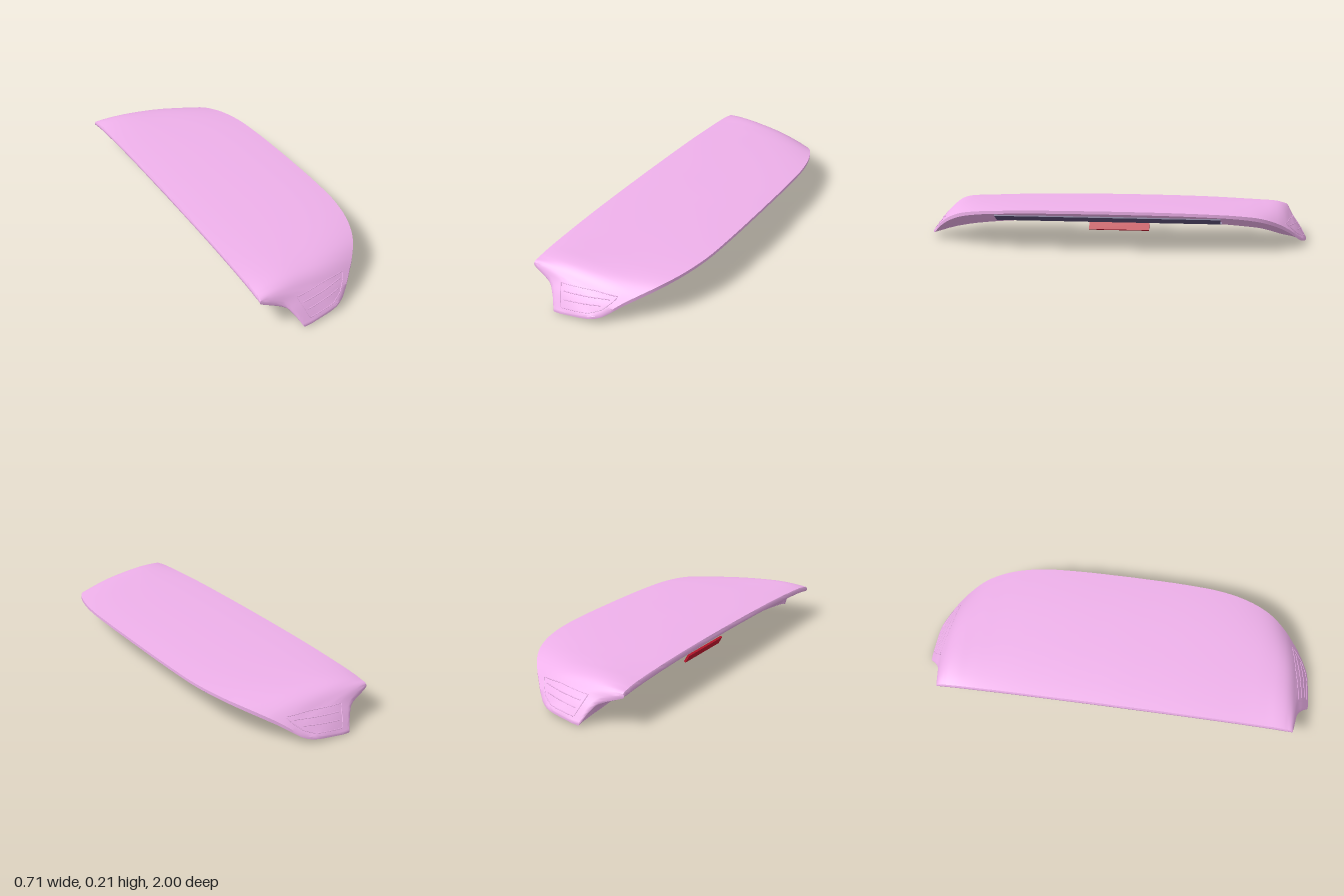
import * as THREE from 'three';
import { toCreasedNormals } from 'three/addons/utils/BufferGeometryUtils.js';

const PAINT = 0xeeb0ea, DARK = 0x5c5078, GREY = 0xa8a0cc, RED = 0xc0182f;
const REAR = -0.357;

// Cross-section stations from the middle to one tip: rear edge x, top y, bottom y;
// crown y; front rim x, top y, bottom y; y of the lower ridge; ridge x
const STATION_Z = [0, 0.3, 0.5, 0.65, 0.76, 0.84, 0.88, 0.91, 0.93, 0.96, 0.985, 1];
const STATIONS = [
  REAR, 0.200, 0.171, 0.210, 0.356, 0.200, 0.185, 0.075, -0.20,
  REAR, 0.198, 0.169, 0.208, 0.352, 0.198, 0.183, 0.072, -0.20,
  REAR, 0.194, 0.165, 0.204, 0.338, 0.192, 0.177, 0.066, -0.20,
  REAR, 0.188, 0.159, 0.199, 0.302, 0.181, 0.165, 0.057, -0.20,
  REAR, 0.182, 0.153, 0.194, 0.250, 0.162, 0.144, 0.047, -0.20,
  REAR, 0.175, 0.147, 0.185, 0.186, 0.130, 0.112, 0.037, -0.197,
  REAR, 0.168, 0.142, 0.169, 0.145, 0.106, 0.089, 0.030, -0.193,
  REAR, 0.158, 0.138, 0.142, 0.114, 0.084, 0.069, 0.025, -0.189,
  -0.260, 0.120, 0.101, 0.114, 0.090, 0.065, 0.052, 0.020, -0.186,
  -0.214, 0.077, 0.060, 0.074, 0.047, 0.040, 0.028, 0.014, -0.183,
  -0.192, 0.037, 0.024, 0.037, -0.020, 0.027, 0.016, 0.008, -0.180,
  -0.180, 0.010, 0.001, 0.013, -0.140, 0.012, 0.003, 0.000, -0.175,
];
const interp = new THREE.CubicInterpolant(STATION_Z, STATIONS, 9);

function station(z) {
  const [xl, yl, ylb, crown, xr, yr, yrb, yk, xk] = interp.evaluate(Math.min(1, Math.abs(z)));
  return { xl: Math.max(REAR, xl), yl, ylb, crown, xr, yr, yrb, yk, xk };
}

// Height of the upper skin at a fraction s from rear to front
function topY(p, s) {
  const bulge = p.crown - (p.yl + p.yr) / 2;
  return p.yl + (p.yr - p.yl) * s + bulge * (1 - Math.abs(2 * s - 1) ** 2.6);
}

// Closed section: upper skin, rim, flange, underside panel, ridge, rear edge
function section(z) {
  const p = station(z), a = Math.abs(z), pts = [];
  const N = 18, thick = p.yl - p.ylb;
  for (let i = 0; i <= N; i++) {
    const s = i / N;
    pts.push([p.xl + (p.xr - p.xl) * s, topY(p, s)]);
  }
  pts[0][0] += thick * 0.2; // rolled rear edge
  const end = THREE.MathUtils.smoothstep(a, 0.65, 0.9);
  const fade = 1 - THREE.MathUtils.smoothstep(a, 0.84, 0.98);
  const under = (t, drop) => pts.push([
    p.xr + (p.xk - p.xr) * t, p.yrb + (p.yk - p.yrb) * t - drop * fade]);
  const f = Math.min(0.6, (0.11 + 0.03 * end) / (p.xr - p.xk)); // flange width
  under(0, 0);
  under(f * 0.5, 0.011);
  under(f, 0.020);
  under(f + 0.02, 0.006);
  for (const [t, rise] of [[0.25, -0.003], [0.5, 0], [0.75, 0.004], [0.92, 0.006]])
    under(f + 0.02 + (0.98 - f) * t, -rise);
  under(1, 0);
  for (const [t, u] of [[0.15, 0.3], [0.4, 0.64], [1, 1]])
    pts.push([p.xk + (p.xl + thick * 0.2 - p.xk) * t, p.yk + (p.ylb - p.yk) * u]);
  pts.push([p.xl, p.ylb + thick * 0.3]);
  pts.push([p.xl, p.ylb + thick * 0.7]);
  return pts;
}

function bodyGeometry() {
  const half = [];
  STATION_Z.forEach((z, i) => {
    const next = STATION_Z[i + 1];
    if (next !== undefined) for (let k = 0; k < 4; k++) half.push(z + (next - z) * k / 4);
  });
  half.push(1);
  const zs = [...half.slice(1).reverse().map(z => -z), ...half];
  const pos = [], index = [];
  let n = 0;
  zs.forEach(z => {
    const loop = section(z);
    n = loop.length;
    loop.forEach(([x, y]) => pos.push(x, y, z));
  });
  const rows = zs.length;
  for (let i = 0; i < rows - 1; i++) for (let j = 0; j < n; j++) {
    const a = i * n + j, b = i * n + (j + 1) % n, c = a + n, d = b + n;
    index.push(a, c, b, b, c, d);
  }
  // Tip caps
  for (const [row, z] of [[0, -1], [rows - 1, 1]]) {
    const c = pos.length / 3;
    pos.push(-0.16, 0.006, z);
    for (let j = 0; j < n; j++) {
      const a = row * n + j, b = row * n + (j + 1) % n;
      if (z > 0) index.push(c, b, a); else index.push(c, a, b);
    }
  }
  const g = new THREE.BufferGeometry();
  g.setAttribute('position', new THREE.Float32BufferAttribute(pos, 3));
  g.setIndex(index);
  return toCreasedNormals(g, 0.7);
}

// Point on the sloping end skin (side is 1 or -1) for a given x and y
function onEnd(x, y, side) {
  let lo = 0.8, hi = 1;
  for (let i = 0; i < 24; i++) {
    const z = (lo + hi) / 2, p = station(z);
    const s = THREE.MathUtils.clamp((x - p.xl) / (p.xr - p.xl), 0, 1);
    if (topY(p, s) > y) lo = z; else hi = z;
  }
  return new THREE.Vector3(x, y, lo * side);
}

function mesh(name, geometry, color) {
  const m = new THREE.Mesh(geometry, new THREE.MeshStandardMaterial({ color }));
  m.name = name;
  return m;
}

// Thin bead laid on the end skin through a few x, y points
function bead(name, pts, closed, radius, side) {
  const path = new THREE.CurvePath();
  const list = closed ? [...pts, pts[0]] : pts;
  for (let i = 0; i < list.length - 1; i++) {
    const [x0, y0] = list[i], [x1, y1] = list[i + 1];
    const steps = [];
    for (let k = 0; k <= 5; k++)
      steps.push(onEnd(x0 + (x1 - x0) * k / 5, y0 + (y1 - y0) * k / 5, side));
    path.add(new THREE.CatmullRomCurve3(steps));
  }
  return mesh(name, new THREE.TubeGeometry(path, 64, radius, 6, closed), PAINT);
}

function endVent(name, side) {
  const g = new THREE.Group();
  g.name = name;
  g.add(bead('ventFrame', [[-0.18, 0.123], [-0.153, 0.055], [-0.143, 0.031], [0, 0.044],
    [0.055, 0.065], [0.09, 0.098], [0.108, 0.122], [0, 0.128]], true, 0.002, side));
  g.add(bead('ventSlat', [[-0.153, 0.096], [0.077, 0.107]], false, 0.0025, side));
  g.add(bead('ventSlat', [[-0.14, 0.065], [0.046, 0.08]], false, 0.0025, side));
  return g;
}

// Straight bar along z, tilted in the x, y plane
function strip(name, x, y, w, h, tilt, length, color) {
  const m = mesh(name, new THREE.BoxGeometry(w, h, length), color);
  m.position.set(x, y, 0);
  m.rotation.z = tilt;
  return m;
}

export function createModel() {
  const model = new THREE.Group();
  model.name = 'spoiler';
  model.add(mesh('body', bodyGeometry(), PAINT));
  model.add(endVent('endVentFront', 1), endVent('endVentBack', -1));

  // Long grille under the front rim
  const grille = new THREE.Group();
  grille.name = 'grille';
  grille.add(strip('grillePanel', 0.286, 0.156, 0.058, 0.018, 0.5, 1.12, DARK));
  grille.add(strip('grilleLip', 0.258, 0.140, 0.012, 0.010, 0.4, 1.13, GREY));
  model.add(grille);

  // Brake light below the rear ridge
  model.add(strip('brakeLight', -0.206, 0.040, 0.011, 0.044, 0.5, 0.33, RED));
  return model;
}
